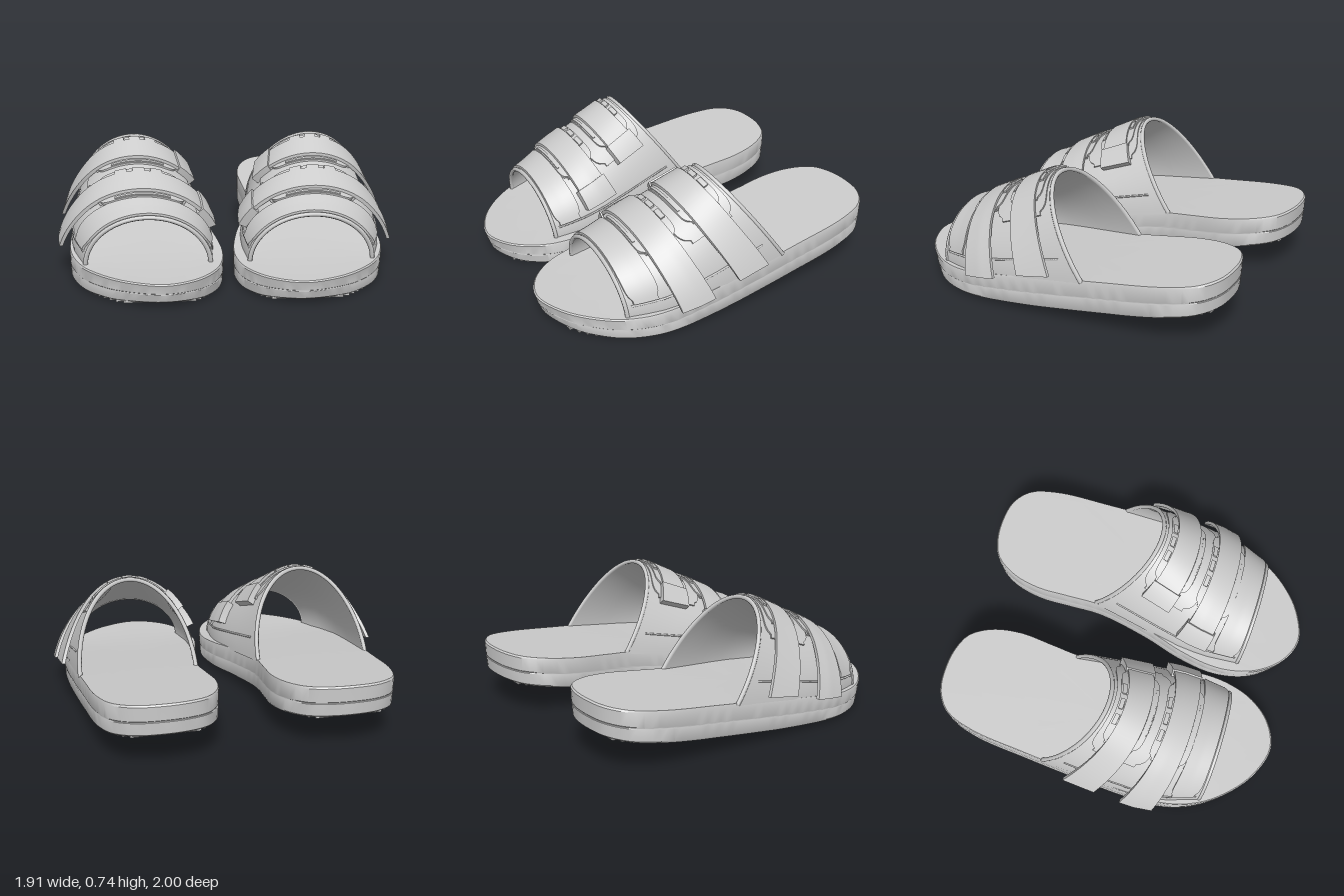
import * as THREE from 'three';
import { mergeGeometries, toCreasedNormals } from 'three/addons/utils/BufferGeometryUtils.js';

const material = new THREE.MeshStandardMaterial({ color: 0xcccccc });

// Piecewise interpolation through [key, value] pairs with rising keys
function table(pairs) {
  return (k) => {
    if (k <= pairs[0][0]) return pairs[0][1];
    for (let i = 1; i < pairs.length; i++) {
      const [k0, v0] = pairs[i - 1], [k1, v1] = pairs[i];
      if (k <= k1) return v0 + ((v1 - v0) * (k - k0)) / (k1 - k0);
    }
    return pairs[pairs.length - 1][1];
  };
}

// Sole heights and upper footprint along z
const soleTop = table([[-1, 0.375], [-0.3, 0.283], [0, 0.237], [0.2, 0.207], [0.4, 0.175], [0.55, 0.156], [0.7, 0.145], [1, 0.14]]);
const soleBottom = table([[-1, 0.2], [-0.5, 0.125], [0, 0.06], [0.3, 0.03], [0.5, 0.015], [0.7, 0.007], [0.85, 0.012], [1, 0.035]]);
const upperInner = table([[-0.28, 0.18], [-0.1, 0.15], [0.1, 0.115], [0.3, 0.085], [0.45, 0.08], [0.66, 0.1]]);
const upperOuter = table([[-0.28, 0.86], [0.1, 0.88], [0.3, 0.88], [0.45, 0.86], [0.66, 0.79]]);

// Sole outline seen from above, as (x, z)
const outline = new THREE.CatmullRomCurve3([
  [0.5, -1], [0.65, -0.98], [0.76, -0.9], [0.82, -0.73], [0.85, -0.4], [0.87, -0.1], [0.885, 0.25],
  [0.875, 0.48], [0.81, 0.67], [0.7, 0.82], [0.55, 0.94], [0.36, 1], [0.2, 0.935], [0.09, 0.8],
  [0.04, 0.65], [0.03, 0.5], [0.06, 0.3], [0.125, 0.06], [0.175, -0.25], [0.165, -0.45],
  [0.155, -0.65], [0.19, -0.82], [0.27, -0.94], [0.38, -0.987],
].map(([x, z]) => new THREE.Vector3(x, 0, z)), true).getSpacedPoints(120).slice(0, 120);

// Closed solid through equal rings of points, capped, wound outward
function loft(rings) {
  const n = rings[0].length, pts = rings.flat(), index = [];
  for (let i = 0; i < rings.length - 1; i++) {
    for (let j = 0; j < n; j++) {
      const a = i * n + j, b = i * n + ((j + 1) % n);
      index.push(a, b, a + n, b, b + n, a + n);
    }
  }
  [0, rings.length - 1].forEach((r) => {
    const centre = new THREE.Vector3();
    rings[r].forEach((p) => centre.addScaledVector(p, 1 / n));
    pts.push(centre);
    for (let j = 0; j < n; j++) {
      const a = r * n + j, b = r * n + ((j + 1) % n);
      index.push(...(r === 0 ? [b, a] : [a, b]), pts.length - 1);
    }
  });
  let volume = 0;
  const cross = new THREE.Vector3();
  for (let i = 0; i < index.length; i += 3) {
    volume += cross.crossVectors(pts[index[i]], pts[index[i + 1]]).dot(pts[index[i + 2]]);
  }
  if (volume < 0) index.reverse();
  const geometry = new THREE.BufferGeometry().setFromPoints(pts);
  geometry.setIndex(index);
  return toCreasedNormals(geometry, 0.6);
}

// Point on the arched upper: t runs outer to inner side, v front to back
function archPoint(side, t, v, off) {
  const zBase = 0.66 - 0.94 * v, zApex = 0.69 - 0.65 * v;
  const xi = upperInner(zBase), xo = upperOuter(zBase), h = Math.sin(t);
  const x = (xi + xo) / 2 + ((xo - xi) / 2 + off) * Math.cos(t);
  const y = soleTop(zBase) - 0.012 + (0.28 + 0.185 * v + off) * h;
  return new THREE.Vector3(side * x, y, zBase + (zApex - zBase) * h);
}

// Slab following the arch; round tapers its ends, flare lifts its outer end
function slab(side, [t0, t1], [v0, v1], [low, high], { round = false, flare = 0, steps = 36 } = {}) {
  const rings = [], m = 10, mid = (v0 + v1) / 2;
  for (let i = 0; i <= steps; i++) {
    const f = i / steps, t = t0 + (t1 - t0) * f;
    const width = round ? Math.max(0.72, Math.pow(1 - Math.pow(Math.abs(2 * f - 1), 10), 0.4)) : 1;
    const half = ((v1 - v0) / 2) * width;
    const lift = flare * Math.pow(Math.max(0, 1 - (t - t0) / 0.7), 2);
    const ring = [];
    for (let j = 0; j <= m; j++) ring.push(archPoint(side, t, mid + half * (2 * j / m - 1), high + lift));
    for (let j = m; j >= 0; j--) ring.push(archPoint(side, t, mid + half * (2 * j / m - 1), low + lift));
    rings.push(ring);
  }
  return loft(rings);
}

// Rounded cord along a path on the arch
function cord(side, path, radius) {
  const pts = [];
  for (let i = 0; i <= 40; i++) pts.push(archPoint(side, ...path(i / 40)));
  return new THREE.TubeGeometry(new THREE.CatmullRomCurve3(pts), 60, radius, 6);
}

function soleRing(side, scale, height, pull = 0) {
  return outline.map((p) => {
    const x = 0.47 + (p.x - 0.47) * scale, z = p.z * scale - pull * Math.max(0, p.z);
    return new THREE.Vector3(side * x, height(z), z);
  });
}

// Cross ribs under the sole, cut to the outline
function treadRibs(side) {
  const ribs = [];
  for (let z = -0.94; z < 0.93; z += 0.034) {
    const xs = [];
    outline.forEach((p, i) => {
      const q = outline[(i + 1) % outline.length];
      if ((p.z - z) * (q.z - z) <= 0 && p.z !== q.z) xs.push(p.x + ((q.x - p.x) * (z - p.z)) / (q.z - p.z));
    });
    const lo = Math.min(...xs) + 0.04, hi = Math.max(...xs) - 0.04;
    ribs.push(new THREE.BoxGeometry(hi - lo, 0.012, 0.018).translate((side * (lo + hi)) / 2, soleBottom(z) + 0.001, z));
  }
  return mergeGeometries(ribs);
}

function createSlide(side) {
  const slide = new THREE.Group();
  slide.name = side > 0 ? 'leftSlide' : 'rightSlide';
  const add = (name, geometry) => {
    const mesh = new THREE.Mesh(geometry, material);
    mesh.name = name;
    slide.add(mesh);
    return mesh;
  };
  const between = (f) => (z) => soleBottom(z) + (soleTop(z) - soleBottom(z)) * f;

  // Sole: footbed, softened rim, seam line, underside
  const rings = [0.01, 0.25, 0.5, 0.75, 0.9, 0.992].map((s) => soleRing(side, s, soleTop));
  [[1, 0.94, 0], [0.998, 0.5, 0.01], [0.994, 0.48, 0.01], [0.994, 0.46, 0.01], [0.997, 0.44, 0.012], [0.992, 0.06, 0.022]]
    .forEach(([s, f, pull]) => rings.push(soleRing(side, s, between(f), pull)));
  [0.975, 0.85, 0.6, 0.3, 0.01].forEach((s) => rings.push(soleRing(side, s, soleBottom, 0.022)));
  add('sole', loft(rings));
  add('treadRibs', treadRibs(side));

  // Rounded pad under the arch of the sole
  const pad = add('archPad', new THREE.CapsuleGeometry(0.05, 0.12, 6, 16));
  pad.scale.set(1, 1, 0.3);
  pad.rotation.x = Math.PI / 2 + 0.13;
  pad.position.set(side * 0.5, soleBottom(0) - 0.002, 0);

  // Upper shell with corded edges
  add('upper', slab(side, [0, Math.PI], [0, 1], [-0.018, 0], { steps: 56 }));
  [0, 1].forEach((v) => add(v ? 'backTrim' : 'frontTrim', cord(side, (f) => [Math.PI * f, v, -0.007], 0.013)));

  // Toe overlay and side seams
  add('toeOverlay', slab(side, [0.28, 2.86], [0.015, 0.22], [-0.005, 0.012], { round: true }));
  add('backOverlay', slab(side, [0.75, 2.4], [0.5, 0.96], [-0.005, 0.01], { round: true }));
  [0.25, 2.89].forEach((t) => add('sideSeam', cord(side, (f) => [t, 0.03 + 0.9 * f, 0], 0.006)));

  // Two fastening straps, each on a pad and threaded through a loop
  [
    { v: [0.265, 0.475], end: 0.04, loop: [2.45, 2.78] },
    { v: [0.655, 0.865], end: 0.1, loop: [2.2, 2.48] },
  ].forEach(({ v, end, loop }) => {
    add('strapPad', slab(side, [0.95, 2.2], [v[0] - 0.05, v[1] + 0.06], [-0.005, 0.02], { round: true }));
    add('strap', slab(side, [end, loop[1] - 0.04], v, [0.016, 0.036], { flare: 0.04 }));
    add('strapLoop', slab(side, loop, [v[0] - 0.012, v[1] + 0.012], [-0.005, 0.046], { steps: 8 }));
    // Small keeper tabs along both strap edges
    for (let i = 0; i < 3; i++) {
      const t = 1.25 + i * 0.24;
      add('keeperTab', slab(side, [t, t + 0.16], [v[1] + 0.008, v[1] + 0.045], [0.01, 0.032], { steps: 4 }));
    }
    add('padRidge', slab(side, [1.2, 1.95], [v[0] - 0.042, v[0] - 0.022], [0.01, 0.026], { steps: 16 }));
  });
  return slide;
}

export function createModel() {
  const model = new THREE.Group();
  model.name = 'slideSandals';
  model.add(createSlide(1), createSlide(-1));
  return model;
}
